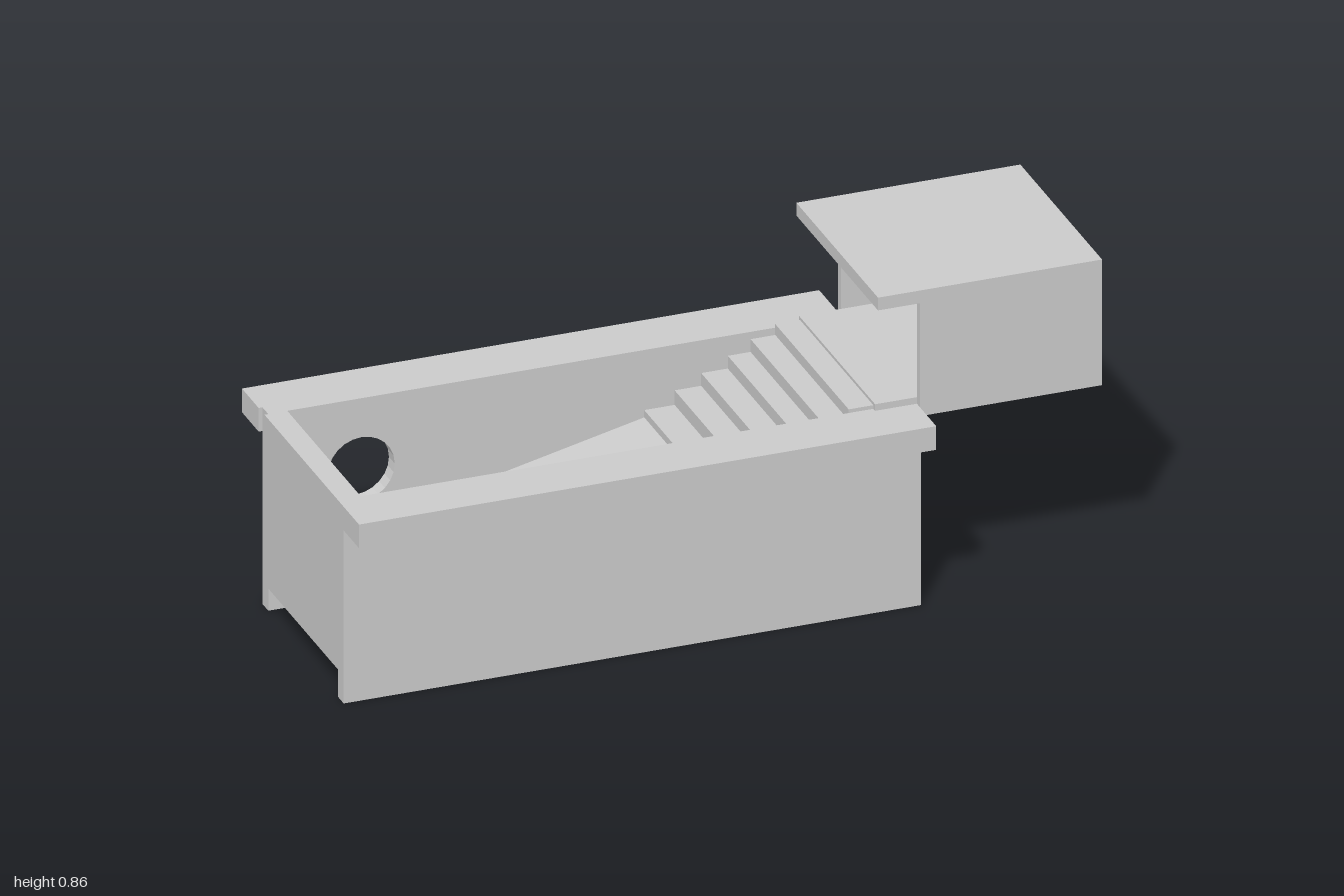
import * as THREE from 'three';

const material = new THREE.MeshStandardMaterial({ color: 0xcccccc, flatShading: true });

export function createModel() {
  const model = new THREE.Group();

  const add = (name, geometry) => {
    const mesh = new THREE.Mesh(geometry, material);
    mesh.name = name;
    model.add(mesh);
    return mesh;
  };

  // Box given by its lower and upper limits on each axis
  const block = (name, x0, x1, y0, y1, z0, z1) => {
    const g = new THREE.BoxGeometry(x1 - x0, y1 - y0, z1 - z0);
    g.translate((x0 + x1) / 2, (y0 + y1) / 2, (z0 + z1) / 2);
    return add(name, g);
  };

  // Outline in x and y, extruded along z
  const slab = (name, points, z0, z1, hole) => {
    const shape = new THREE.Shape(points.map(([x, y]) => new THREE.Vector2(x, y)));
    if (hole) shape.holes.push(hole);
    const g = new THREE.ExtrudeGeometry(shape, { depth: z1 - z0, bevelEnabled: false, curveSegments: 12 });
    g.translate(0, 0, z0);
    return add(name, g);
  };

  // Long side walls, the back one with a round opening
  block('frontWall', -1, 0.52, 0, 0.54, 0.255, 0.295);
  const opening = new THREE.Path().absarc(-0.745, 0.345, 0.088, 0, Math.PI * 2, true);
  slab('backWall', [[-0.99, 0], [0.52, 0], [0.52, 0.54], [-0.99, 0.54]], -0.29, -0.25, opening);

  // Ledges along the outside of the walls
  block('frontLedge', -1, 0.52, 0.475, 0.54, 0.295, 0.4);
  block('backLedge', -1, 0.52, 0.475, 0.54, -0.405, -0.29);

  // End wall and sloping floor of the basin
  block('endWall', -1, -0.94, 0.075, 0.54, -0.25, 0.255);
  slab('slopingFloor', [[-0.94, 0.12], [0, 0.12], [0, 0.355], [-0.94, 0.14]], -0.25, 0.255);

  // Stairs: start x, underside, top
  const steps = [
    [0, 0.335, 0.375], [0.08, 0.357, 0.415], [0.15, 0.4, 0.45],
    [0.22, 0.417, 0.485], [0.28, 0.46, 0.52], [0.345, 0.485, 0.55],
  ];
  steps.forEach(([x, bottom, top], i) => {
    const end = i < steps.length - 1 ? steps[i + 1][0] + 0.015 : 0.43;
    block('step', x, end, bottom, top, -0.25, 0.255);
  });

  // Cabin at the head of the stairs, open towards the basin
  const z0 = -0.275, z1 = 0.287, t = 0.02;
  block('cabinFloor', 0.41, 0.98, 0.515, 0.558, z0 + t, z1 - t);
  block('cabinRoof', 0.41, 1, 0.825, 0.86, z0, z1);
  block('cabinBackWall', 0.52, 0.98, 0.515, 0.825, z0, z0 + t);
  block('cabinFrontWall', 0.52, 0.98, 0.515, 0.825, z1 - t, z1);
  block('cabinEndWall', 0.98, 1, 0.515, 0.825, z0, z1);

  return model;
}
